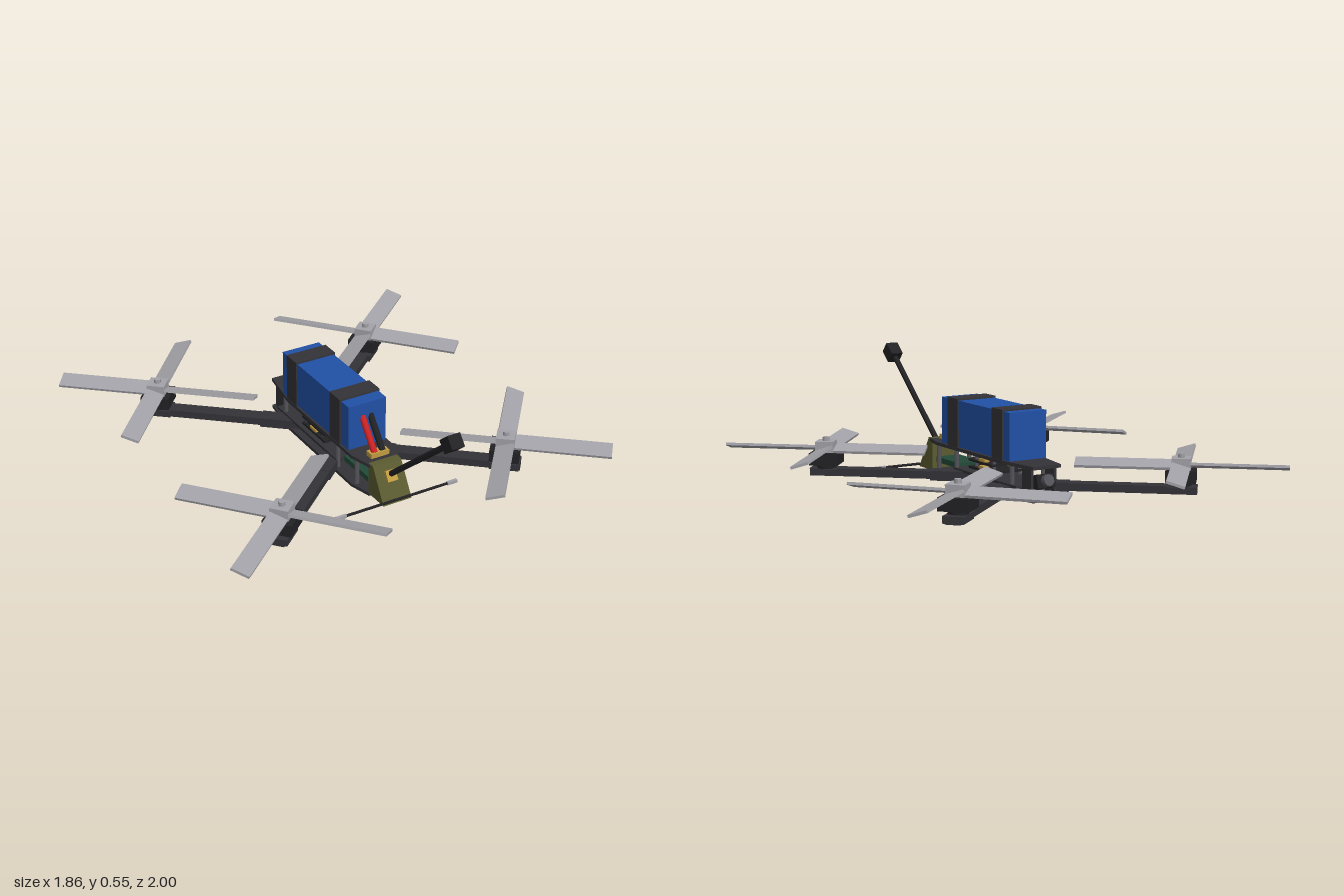
import * as THREE from 'three';

const mat = (name, color) => {
  const m = new THREE.MeshStandardMaterial({ color });
  m.name = name;
  return m;
};

export function createModel() {
  const carbon = mat('carbon', 0x333338);
  const black = mat('black', 0x222225);
  const grey = mat('propeller grey', 0xa2a2a8);
  const blue = mat('battery blue', 0x2150a6);
  const olive = mat('olive', 0x5a5a30);
  const gold = mat('gold', 0xc09a40);
  const red = mat('red', 0xcc2222);
  const green = mat('board green', 0x234a38);
  const steel = mat('steel', 0x55555c);

  const model = new THREE.Group();
  model.name = 'quadcopter';

  const add = (parent, name, geo, material, x = 0, y = 0, z = 0) => {
    const m = new THREE.Mesh(geo, material);
    m.name = name;
    m.position.set(x, y, z);
    parent.add(m);
    return m;
  };
  const box = (parent, name, material, w, h, d, x, y, z) =>
    add(parent, name, new THREE.BoxGeometry(w, h, d), material, x, y, z);
  const cyl = (parent, name, material, r, h, x, y, z, sides = 8) =>
    add(parent, name, new THREE.CylinderGeometry(r, r, h, sides), material, x, y, z);
  // round rod between two points
  const rod = (name, material, r, a, b) => {
    const from = new THREE.Vector3(...a), dir = new THREE.Vector3(...b).sub(from);
    const m = cyl(model, name, material, r, dir.length(), 0, 0, 0);
    m.position.copy(from).addScaledVector(dir, 0.5);
    m.quaternion.setFromUnitVectors(new THREE.Vector3(0, 1, 0), dir.normalize());
    return m;
  };

  // frame plates with tapered ends
  const outline = [[-0.07, 0.42], [0.07, 0.42], [0.102, 0.22], [0.102, -0.35], [0.075, -0.455],
    [-0.075, -0.455], [-0.102, -0.35], [-0.102, 0.22]];
  const plateGeo = new THREE.ExtrudeGeometry(
    new THREE.Shape(outline.map(([x, y]) => new THREE.Vector2(x, y))),
    { depth: 0.015, bevelEnabled: false });
  plateGeo.rotateX(-Math.PI / 2);
  add(model, 'bottomPlate', plateGeo, carbon, 0, 0.002, 0);
  add(model, 'topPlate', plateGeo, carbon, 0, 0.143, 0);
  box(model, 'middlePlate', carbon, 0.19, 0.012, 0.53, 0, 0.056, -0.06);

  // standoffs between the plates
  for (const x of [-0.08, 0.08])
    for (const z of [0.36, 0.2, -0.27])
      cyl(model, 'standoff', steel, 0.011, 0.13, x, 0.08, z, 6);

  // electronics stack
  for (const y of [0.082, 0.115]) {
    box(model, 'circuitBoard', black, 0.17, 0.01, 0.2, 0, y, -0.01);
    for (const x of [-0.07, 0.07])
      box(model, 'boardConnector', gold, 0.025, 0.014, 0.05, x, y + 0.011, -0.02);
  }
  for (const x of [-0.065, 0.065])
    for (const z of [0.05, -0.1])
      cyl(model, 'stackPost', steel, 0.008, 0.09, x, 0.1, z, 6);
  box(model, 'radioBoard', green, 0.12, 0.025, 0.2, 0, 0.062, 0.32);

  // tilted camera and its side brackets
  const camera = new THREE.Group();
  camera.name = 'camera';
  camera.position.set(0, 0.085, -0.39);
  camera.rotation.x = 0.28;
  model.add(camera);
  box(camera, 'cameraBody', black, 0.09, 0.06, 0.05, 0, 0, 0);
  const lens = cyl(camera, 'lens', steel, 0.026, 0.03, 0, 0, -0.035, 10);
  lens.rotation.x = Math.PI / 2;
  for (const x of [-0.058, 0.058])
    box(model, 'cameraBracket', carbon, 0.012, 0.126, 0.07, x, 0.08, -0.36);

  // battery with two straps
  box(model, 'battery', blue, 0.186, 0.21, 0.58, 0, 0.265, 0.02);
  for (const z of [0.203, -0.178])
    box(model, 'batteryStrap', carbon, 0.2, 0.22, 0.087, 0, 0.268, z);

  // power leads and connector
  rod('redLead', red, 0.015, [-0.02, 0.305, 0.3], [-0.02, 0.175, 0.405]);
  rod('blackLead', black, 0.015, [0.02, 0.305, 0.3], [0.02, 0.175, 0.405]);
  box(model, 'powerConnector', gold, 0.09, 0.025, 0.04, 0, 0.168, 0.4);

  // sloped antenna mount
  const wedge = new THREE.Shape([[-0.44, 0.008], [-0.565, 0.008], [-0.475, 0.158], [-0.44, 0.158]]
    .map(([x, y]) => new THREE.Vector2(x, y)));
  const mountGeo = new THREE.ExtrudeGeometry(wedge, { depth: 0.14, bevelEnabled: false });
  mountGeo.translate(0, 0, -0.07).rotateY(Math.PI / 2);
  add(model, 'antennaMount', mountGeo, olive);

  // main antenna
  const socket = box(model, 'antennaSocket', gold, 0.05, 0.05, 0.02, 0, 0.11, 0.507);
  socket.rotation.x = -0.54;
  rod('antennaStem', black, 0.013, [0, 0.113, 0.5], [0, 0.49, 0.938]);
  const tip = box(model, 'antennaTip', black, 0.06, 0.072, 0.06, 0, 0.502, 0.953);
  tip.rotation.x = 0.86;

  // crosswise receiver antenna
  rod('receiverAntenna', black, 0.006, [-0.26, 0.02, 0.562], [0.26, 0.02, 0.562]);
  for (const s of [-1, 1])
    box(model, 'receiverAntennaTip', grey, 0.05, 0.014, 0.014, s * 0.277, 0.02, 0.562);

  // four arms, each with motor and propeller
  for (const side of [1, -1]) {
    for (const [mz, dz] of [[0.56, 1], [-0.625, -1]]) {
      const arm = new THREE.Group();
      arm.name = (dz > 0 ? 'front' : 'rear') + (side > 0 ? 'Left' : 'Right') + 'Arm';
      arm.position.set(side * 0.555, 0, mz);
      arm.rotation.y = Math.atan2(-dz * 0.65, side * 0.76);
      model.add(arm);
      box(arm, 'armBeam', carbon, 0.77, 0.034, 0.066, -0.315, 0.034, 0);
      box(arm, 'armRoot', carbon, 0.22, 0.044, 0.072, -0.595, 0.032, 0);
      box(arm, 'motorFoot', carbon, 0.13, 0.03, 0.09, 0, 0.034, 0);
      cyl(arm, 'motorBase', black, 0.045, 0.03, 0, 0.06, 0);
      box(arm, 'motor', black, 0.13, 0.055, 0.13, 0, 0.095, 0);
      box(arm, 'propellerHub', grey, 0.082, 0.05, 0.082, 0, 0.148, 0);
      cyl(arm, 'propellerNut', grey, 0.016, 0.02, 0, 0.181, 0, 6);
      for (let i = 0; i < 4; i++) {
        const blade = new THREE.Group();
        blade.name = 'propellerBlade';
        blade.position.y = 0.14;
        blade.rotation.y = i * Math.PI / 2;
        arm.add(blade);
        box(blade, 'bladePanel', grey, 0.44, 0.012, 0.082, 0.24, 0, 0).rotation.x = side * 0.3;
      }
    }
  }
  return model;
}
